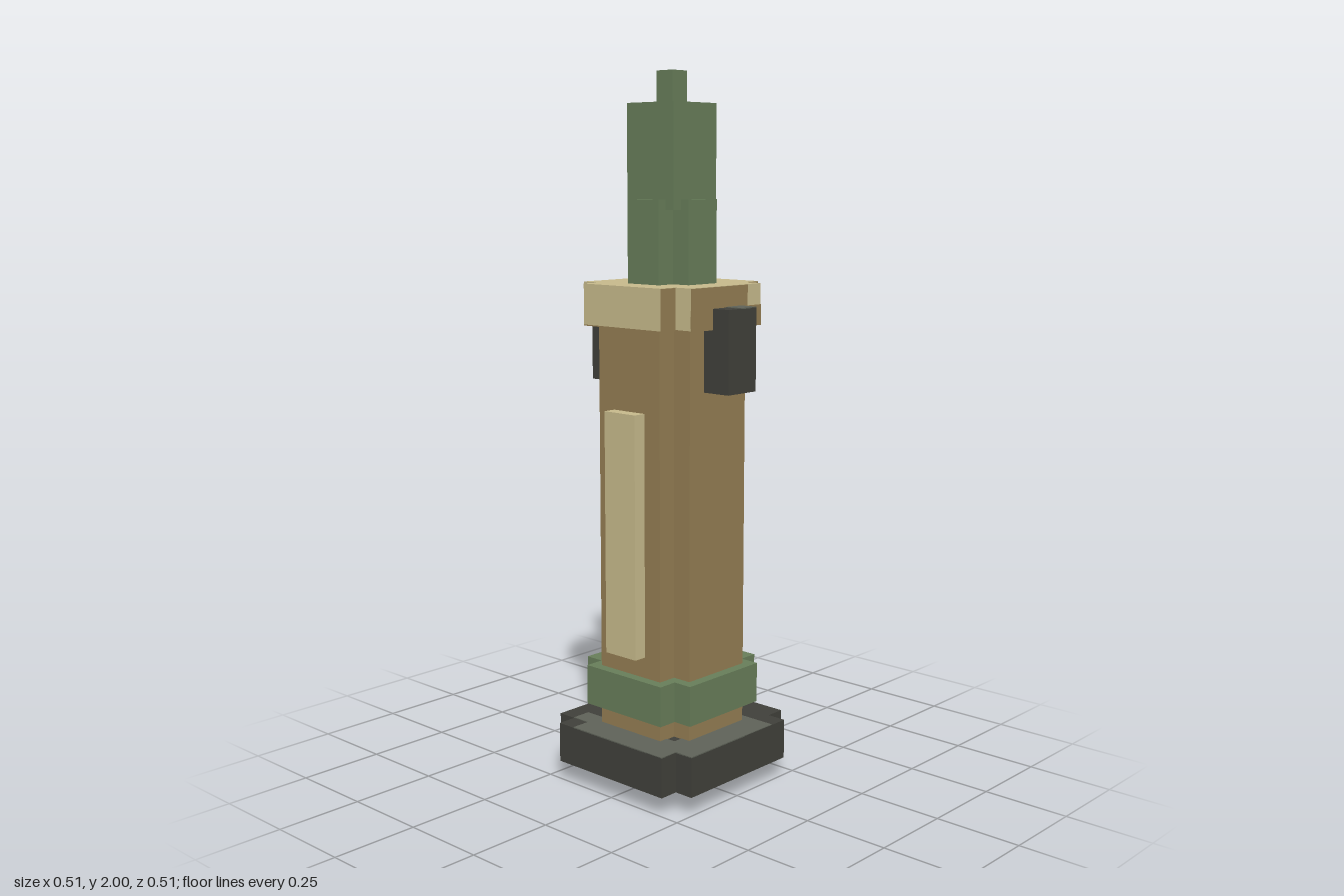
import * as THREE from 'three';

const mat = (name, color) => {
  const m = new THREE.MeshStandardMaterial({ color });
  m.name = name;
  return m;
};

export function createModel() {
  const model = new THREE.Group();
  const green = mat('green', 0x677d59);
  const brown = mat('brown', 0x937d52);
  const tan = mat('tan', 0xc6b98b);
  const dark = mat('charcoal', 0x40403a);
  const grey = mat('grey', 0x5e6258);

  // Box given by its min and max corners
  const box = (name, m, x0, x1, y0, y1, z0, z1) => {
    const mesh = new THREE.Mesh(new THREE.BoxGeometry(x1 - x0, y1 - y0, z1 - z0), m);
    mesh.position.set((x0 + x1) / 2, (y0 + y1) / 2, (z0 + z1) / 2);
    mesh.name = name;
    model.add(mesh);
  };
  // Square column of half width o, corners notched back to i
  const notched = (name, m, o, i, y0, y1) => {
    const pts = [[o, -i], [o, i], [i, i], [i, o], [-i, o], [-i, i],
      [-o, i], [-o, -i], [-i, -i], [-i, -o], [i, -o], [i, -i]];
    const shape = new THREE.Shape(pts.map(([x, y]) => new THREE.Vector2(x, y)));
    const geo = new THREE.ExtrudeGeometry(shape, { depth: y1 - y0, bevelEnabled: false });
    geo.rotateX(-Math.PI / 2);
    const mesh = new THREE.Mesh(geo, m);
    mesh.position.y = y0;
    mesh.name = name;
    model.add(mesh);
  };

  // Foot, base and shaft
  box('foot', green, -0.086, 0.086, 0, 0.058, -0.086, 0.086);
  notched('base', dark, 0.257, 0.2, 0.057, 0.171);
  notched('shaft', brown, 0.171, 0.114, 0.171, 1.314);
  notched('lowerBand', green, 0.2, 0.143, 0.229, 0.343);

  // Grey worn patches on top of the base
  const t0 = 0.17, t1 = 0.173;
  box('basePatchFront', grey, -0.2, 0.2, t0, t1, 0.143, 0.2);
  box('basePatchEdge', grey, -0.143, 0.2, t0, t1, 0.2, 0.257);
  box('basePatchSide', grey, 0.143, 0.257, t0, t1, -0.143, 0.143);
  box('basePatchCorner', grey, 0.2, 0.257, t0, t1, 0.143, 0.2);

  // Raised panels on front and back
  for (const s of [1, -1]) {
    const z0 = s > 0 ? 0.171 : -0.209, z1 = s > 0 ? 0.209 : -0.171;
    box('panel', tan, -0.057, 0.057, 0.402, 1.086, z0, z1);
    box('panelUnderside', brown, -0.057, 0.057, 0.4, 0.402, z0, z1);
  }

  // Cap with brown underside
  notched('cap', tan, 0.2, 0.143, 1.317, 1.429);
  notched('capUnderside', brown, 0.2, 0.143, 1.314, 1.317);

  // Brown facing on the left side of the cap
  const f0 = 0.199, f1 = 0.202, n0 = 0.142, n1 = 0.145;
  box('capSide', brown, f0, f1, 1.314, 1.428, -0.086, 0.143);
  box('capSideLower', brown, f0, f1, 1.314, 1.371, -0.143, -0.086);
  box('capNotchFront', brown, n0, n1, 1.314, 1.428, 0.143, 0.199);
  box('capNotchBack', brown, n0, n1, 1.371, 1.428, -0.199, -0.143);

  // Side blocks with grey patches on top
  for (const s of [1, -1]) {
    const x0 = s > 0 ? 0.171 : -0.257, x1 = s > 0 ? 0.257 : -0.171;
    box('sideBlock', dark, x0, x1, 1.143, 1.371, -0.057, 0.057);
    box('sideBlockPatch', grey, s > 0 ? 0.203 : -0.257, s > 0 ? 0.257 : -0.201,
      1.37, 1.373, -0.057, s > 0 ? 0.005 : -0.026);
  }

  // Stepped spire
  notched('spireBase', green, 0.114, 0.057, 1.429, 1.657);
  box('spire', green, -0.086, 0.086, 1.629, 1.914, -0.086, 0.086);
  box('spireTip', green, -0.029, 0.029, 1.914, 2, -0.029, 0.029);

  return model;
}
